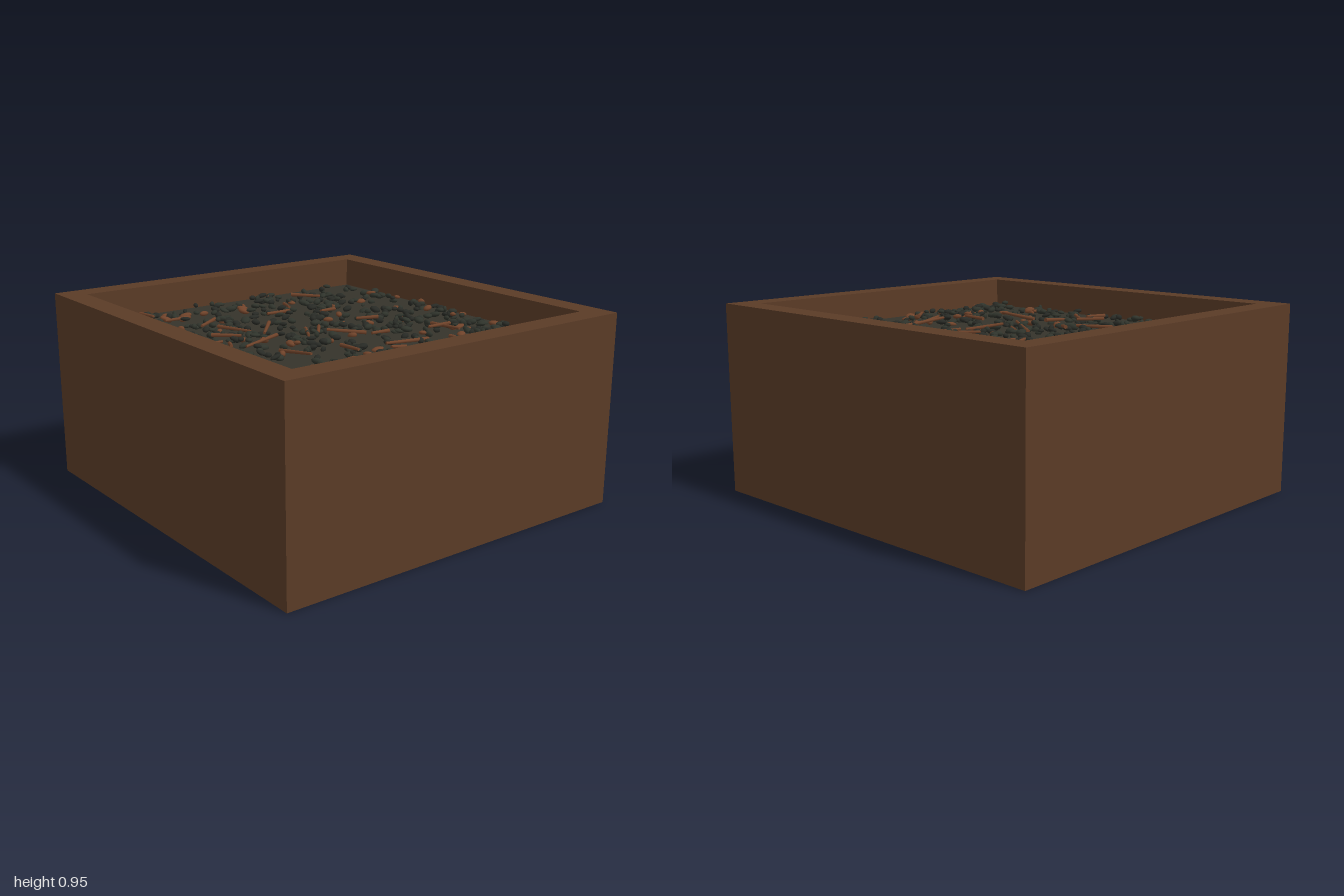
import * as THREE from 'three';
import { mergeGeometries } from 'three/addons/utils/BufferGeometryUtils.js';

const SOIL = 0.8;

function seeded(seed) {
  return () => (seed = (seed * 16807) % 2147483647) / 2147483647;
}

export function createModel() {
  const group = new THREE.Group();
  const rand = seeded(4217);
  const range = (a, b) => a + (b - a) * rand();

  const material = (name, color) => {
    const m = new THREE.MeshStandardMaterial({ color });
    m.name = name;
    return m;
  };
  const wood = material('brown wood', 0x5a3b26);
  const earth = material('dark olive bed', 0x35332a);
  const green = material('dark green flake', 0x2f332b);
  const black = material('blackish flake', 0x282a25);
  const rust = material('rust brown', 0x70432a);

  const add = (name, geometry, mat) => {
    const mesh = new THREE.Mesh(geometry, mat);
    mesh.name = name;
    group.add(mesh);
  };

  // Square walls with an open middle
  const rect = (Type, x, z) => new Type([[-x, -z], [x, -z], [x, z], [-x, z]].map(p => new THREE.Vector2(...p)));
  const outline = rect(THREE.Shape, 1, 0.95);
  outline.holes.push(rect(THREE.Path, 0.88, 0.83));
  const walls = new THREE.ExtrudeGeometry(outline, { depth: 0.95, bevelEnabled: false });
  walls.rotateX(-Math.PI / 2);
  add('boxWalls', walls, wood);

  // Floor and filling, set between the walls
  const floor = new THREE.BoxGeometry(1.76, 0.12, 1.66);
  floor.translate(0, 0.06, 0);
  add('boxFloor', floor, wood);
  const bed = new THREE.BoxGeometry(1.76, SOIL - 0.12, 1.66);
  bed.translate(0, (SOIL + 0.12) / 2, 0);
  add('fillingBed', bed, earth);

  // Loose flattened flakes scattered over the bed
  const flakes = (count, small, large) => {
    const parts = [];
    for (let i = 0; i < count; i++) {
      const g = new THREE.SphereGeometry(1, 9, 6);
      const length = range(small, large);
      g.scale(length, range(0.009, 0.016), length * range(0.45, 0.85));
      g.rotateZ(range(-0.35, 0.35));
      g.rotateY(range(0, Math.PI));
      g.translate(range(-0.84, 0.84), SOIL + range(0.003, 0.026), range(-0.79, 0.79));
      parts.push(g);
    }
    return mergeGeometries(parts);
  };
  add('greenFlakes', flakes(340, 0.016, 0.032), green);
  add('blackFlakes', flakes(260, 0.016, 0.03), black);
  add('brownFlakes', flakes(75, 0.015, 0.036), rust);

  // Thin twigs: x and z of both ends
  const twigEnds = [
    [0.46, -0.26, 0.46, 0], [0.49, -0.37, 0.75, -0.37], [0.24, -0.48, 0.44, -0.48],
    [-0.08, 0.06, 0.11, 0.18], [0.17, -0.12, 0.08, 0.05], [-0.05, 0, 0.05, 0.08],
    [-0.34, 0.4, -0.16, 0.33], [-0.16, 0.55, -0.07, 0.44], [-0.05, 0.69, -0.03, 0.57],
    [0.02, 0.3, 0.06, 0.5], [-0.5, 0.32, -0.38, 0.47], [-0.82, 0.57, -0.68, 0.57],
    [-0.63, 0.39, -0.6, 0.55], [-0.43, -0.12, -0.44, 0.04], [-0.6, -0.18, -0.44, -0.1],
    [-0.69, -0.29, -0.6, -0.42], [0.21, -0.23, 0.2, -0.13], [0.02, -0.32, -0.03, -0.22],
    [0.63, -0.02, 0.75, 0.11], [0.2, 0.41, 0.4, 0.38], [-0.22, 0.18, -0.1, 0.29],
    [0.33, 0.16, 0.46, 0.16], [0.51, -0.08, 0.52, 0.02], [-0.05, 0.52, 0.06, 0.58],
    [0.77, -0.82, 0.77, -0.74], [0.33, -0.52, 0.33, -0.38], [-0.34, -0.32, -0.3, -0.2],
  ];
  const up = new THREE.Vector3(0, 1, 0);
  const twigs = twigEnds.map(([x1, z1, x2, z2]) => {
    const from = new THREE.Vector3(x1, SOIL + range(0.015, 0.04), z1);
    const to = new THREE.Vector3(x2, SOIL + range(0.015, 0.04), z2);
    const along = to.clone().sub(from);
    const g = new THREE.CylinderGeometry(0.007, 0.01, along.length(), 6);
    g.applyQuaternion(new THREE.Quaternion().setFromUnitVectors(up, along.normalize()));
    const mid = from.add(to).multiplyScalar(0.5);
    return g.translate(mid.x, mid.y, mid.z);
  });
  add('twigs', mergeGeometries(twigs), rust);

  return group;
}
